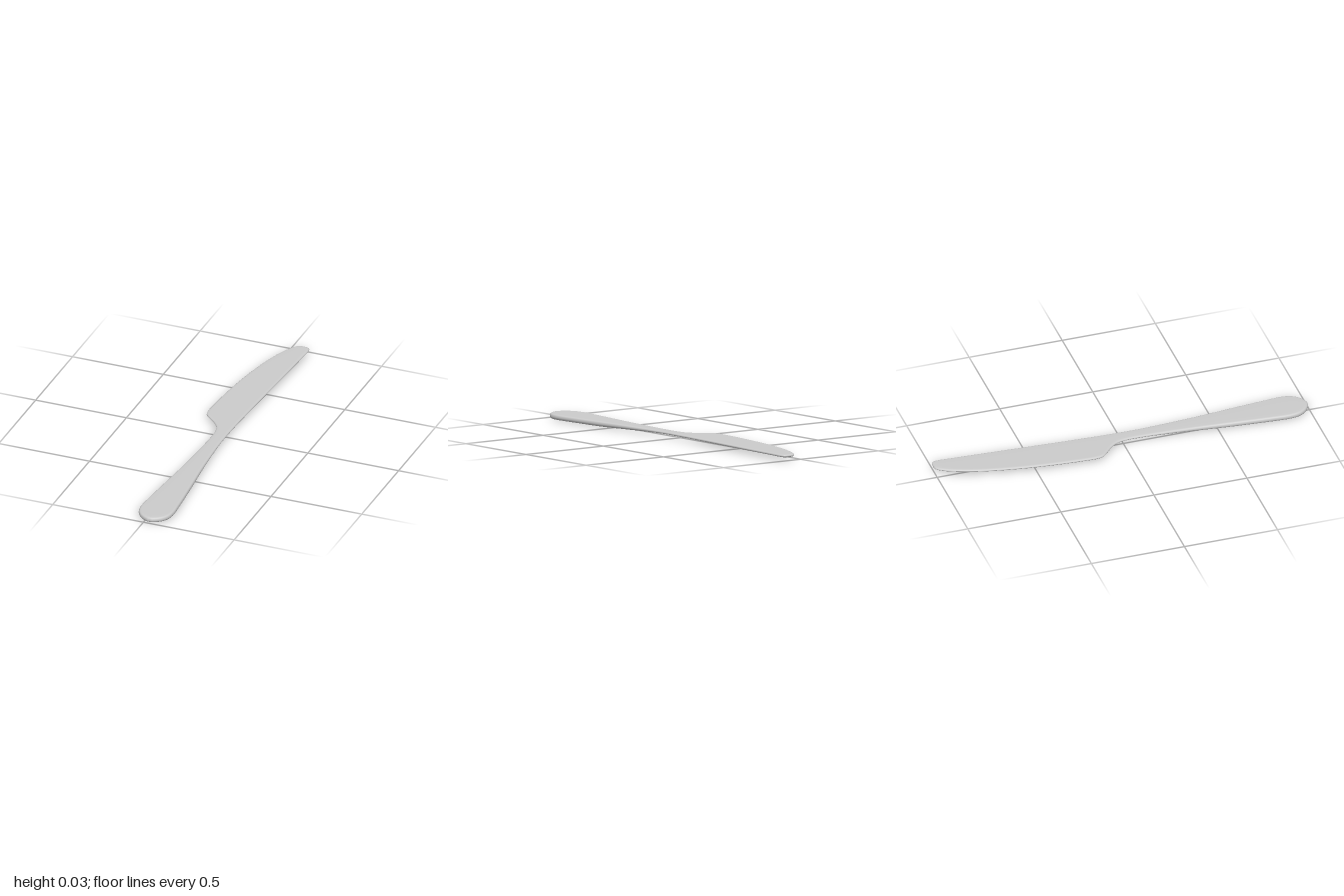
import * as THREE from 'three';

// Outline stations from blade tip to handle end: [z, left-hand x, right-hand x]
const STATIONS = [
  [-1, 0.055, 0.088], [-0.994, 0.041, 0.102], [-0.98, 0.028, 0.109], [-0.95, 0.01, 0.111],
  [-0.9, -0.012, 0.108], [-0.8, -0.045, 0.103], [-0.6, -0.086, 0.092], [-0.4, -0.111, 0.081],
  [-0.25, -0.122, 0.073], [-0.18, -0.124, 0.07], [-0.145, -0.116, 0.068], [-0.115, -0.088, 0.067],
  [-0.08, -0.05, 0.066], [-0.04, -0.021, 0.065], [0.01, -0.008, 0.064], [0.1, -0.006, 0.064],
  [0.2, -0.01, 0.068], [0.4, -0.023, 0.081], [0.6, -0.041, 0.1], [0.8, -0.058, 0.117],
  [0.88, -0.062, 0.122], [0.93, -0.054, 0.115], [0.965, -0.034, 0.095], [0.987, -0.008, 0.068],
  [0.997, 0.012, 0.048], [1, 0.022, 0.038],
];

// Rounded rim from bottom to top: [inset from outline, fraction of thickness]
const RIM = [[0.017, 0], [0.01, 0.05], [0.004, 0.16], [0.001, 0.32], [0, 0.5],
  [0.001, 0.74], [0.004, 0.88], [0.008, 0.96], [0.014, 1]];

const TOP = 0.031;
// The underside drops from the thin blade to the thicker handle
const bottomAt = (z) => 0.016 - 0.014 * THREE.MathUtils.smoothstep(z, 0.02, 0.62);

function knifeGeometry() {
  const curve = new THREE.CatmullRomCurve3(
    STATIONS.map(([z, l, r]) => new THREE.Vector3(l, r, z)), false, 'centripetal');
  const n = (STATIONS.length - 1) * 5 + 1;
  const rows = curve.getPoints(n - 1);

  // Closed outline: down the left side, back up the right
  const loop = [
    ...rows.map((p) => new THREE.Vector2(p.x, p.z)),
    ...rows.map((p) => new THREE.Vector2(p.y, p.z)).reverse(),
  ];
  const m = loop.length;
  const outward = loop.map((p, i) => {
    const a = p.clone().sub(loop[(i + m - 1) % m]).normalize();
    const b = loop[(i + 1) % m].clone().sub(p).normalize();
    const t = a.add(b).normalize();
    return new THREE.Vector2(-t.y, t.x);
  });

  const pos = [], index = [];
  const quad = (a, b, c, d) => index.push(a, b, c, a, c, d);

  // Rim rings
  RIM.forEach(([inset, f]) => loop.forEach((p, i) => {
    const y = THREE.MathUtils.lerp(bottomAt(p.y), TOP, f);
    pos.push(p.x - outward[i].x * inset, y, p.y - outward[i].y * inset);
  }));
  for (let k = 0; k < RIM.length - 1; k++) {
    for (let i = 0; i < m; i++) {
      const j = (i + 1) % m;
      quad(k * m + i, k * m + j, (k + 1) * m + j, (k + 1) * m + i);
    }
  }

  // Upper and lower faces, slightly crowned along a centre line
  for (const [ring, crown] of [[0, -0.002], [RIM.length - 1, 0.0005]]) {
    const base = ring * m, mid = pos.length / 3;
    for (let i = 0; i < n; i++) {
      const l = (base + i) * 3, r = (base + m - 1 - i) * 3;
      const lift = i === 0 || i === n - 1 ? 0 : crown * Math.min(1, (rows[i].y - rows[i].x) / 0.15);
      pos.push((pos[l] + pos[r]) / 2, (pos[l + 1] + pos[r + 1]) / 2 + lift, (pos[l + 2] + pos[r + 2]) / 2);
    }
    for (let i = 0; i < n - 1; i++) {
      const L = base + i, R = base + m - 1 - i, M = mid + i;
      if (crown > 0) {
        quad(L, L + 1, M + 1, M);
        quad(M, M + 1, R - 1, R);
      } else {
        quad(L, M, M + 1, L + 1);
        quad(M, R, R - 1, M + 1);
      }
    }
  }

  const geo = new THREE.BufferGeometry();
  geo.setAttribute('position', new THREE.Float32BufferAttribute(pos, 3));
  geo.setIndex(index);
  geo.computeVertexNormals();
  return geo;
}

export function createModel() {
  const group = new THREE.Group();
  group.name = 'tableKnife';
  const knife = new THREE.Mesh(knifeGeometry(), new THREE.MeshStandardMaterial({ color: 0xcccccc }));
  knife.name = 'bladeAndHandle';
  group.add(knife);
  return group;
}
